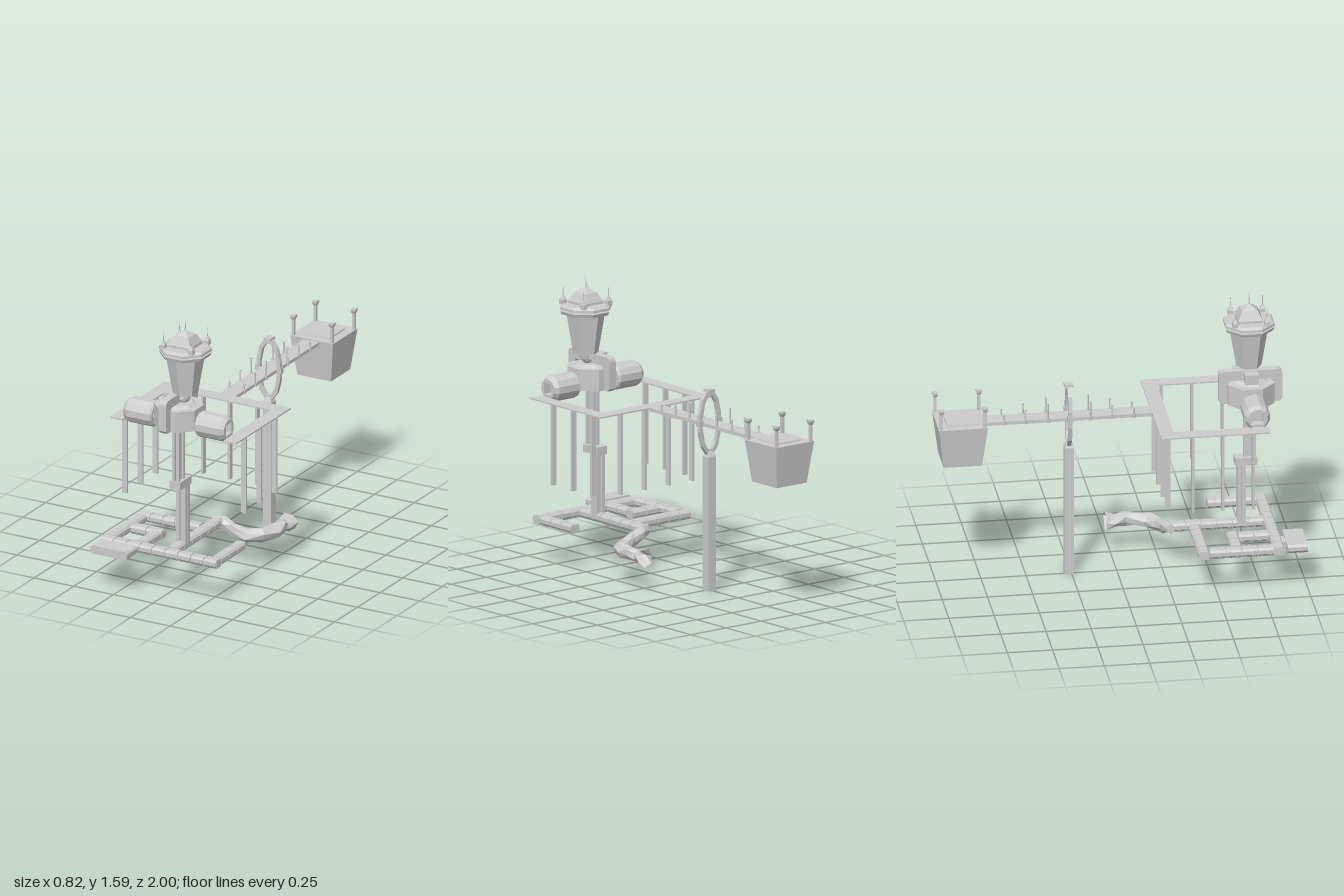
import * as THREE from 'three';

const material = new THREE.MeshStandardMaterial({ color: 0xcccccc, flatShading: true, side: THREE.DoubleSide });
const CX = 0.008; // shared centre line
const HZ = 0.738; // depth of the tower axis

export function createModel() {
  const model = new THREE.Group();
  const add = (name, geometry, x = 0, y = 0, z = 0, parent = model) => {
    const mesh = new THREE.Mesh(geometry, material);
    mesh.name = name;
    mesh.position.set(x, y, z);
    parent.add(mesh);
    return mesh;
  };
  // box between two corners
  const box = (name, x0, x1, y0, y1, z0, z1) =>
    add(name, new THREE.BoxGeometry(x1 - x0, y1 - y0, z1 - z0), (x0 + x1) / 2, (y0 + y1) / 2, (z0 + z1) / 2);
  // upright n-sided frustum
  const frustum = (name, n, rBottom, rTop, x, z, y0, y1, turn = 0) =>
    add(name, new THREE.CylinderGeometry(rTop, rBottom, y1 - y0, n).rotateY(turn), x, (y0 + y1) / 2, z);
  // square frustum given by half widths
  const square = (name, bottom, top, x, z, y0, y1) =>
    frustum(name, 4, bottom * Math.SQRT2, top * Math.SQRT2, x, z, y0, y1, Math.PI / 4);

  // U-shaped walkway with hanging slats
  box('frameBack', -0.39, 0.405, 0.941, 0.949, 0.19, 0.27);
  box('frameArmRight', -0.39, -0.31, 0.941, 0.949, 0.27, 0.795);
  box('frameArmLeft', 0.325, 0.405, 0.941, 0.949, 0.27, 0.795);
  for (const x of [-0.288, -0.118, 0.05, 0.221]) box('hangingSlat', x - 0.007, x + 0.007, 0.48, 0.942, 0.225, 0.255);
  for (const z of [0.3, 0.468, 0.637]) box('hangingSlat', 0.35, 0.38, 0.48, 0.942, z - 0.007, z + 0.007);
  for (const z of [0.37, 0.535, 0.705]) box('hangingSlat', -0.36, -0.33, 0.48, 0.942, z - 0.007, z + 0.007);

  // bridge with side rails, ribs and posts
  box('bridgeDeck', -0.042, 0.055, 0.94, 0.949, -0.735, 0.19);
  for (const x of [-0.035, 0.048]) box('bridgeRail', x - 0.007, x + 0.007, 0.93, 0.942, -0.735, 0.19);
  for (let i = 0; i < 8; i++) box('bridgeRib', -0.035, 0.048, 0.932, 0.941, -0.68 + i * 0.115, -0.665 + i * 0.115);
  for (const [z, top] of [[0.09, 0.985], [-0.03, 1.01], [-0.15, 1.04], [-0.385, 1.04], [-0.51, 1.01], [-0.63, 0.985]])
    for (const x of [-0.04, 0.053]) {
      frustum('bridgePost', 6, 0.005, 0.004, x, z, 0.93, top);
      frustum('bridgePostFoot', 6, 0.01, 0.01, x, z, 0.93, 0.952);
      frustum('bridgePostTip', 6, 0.006, 0.006, x, z, top - 0.008, top);
    }

  // pylon and upright hoop around the bridge
  square('pylon', 0.026, 0.026, CX, -0.264, 0, 0.755);
  square('pylonNeck', 0.026, 0.013, CX, -0.264, 0.755, 0.785);
  const ellipse = (rx, ry, n) => Array.from({ length: n }, (_, i) => {
    const a = (i + 0.5) / n * Math.PI * 2;
    return new THREE.Vector2(Math.cos(a) * rx, Math.sin(a) * ry);
  });
  const hoop = new THREE.Shape(ellipse(0.078, 0.185, 12));
  hoop.holes.push(new THREE.Path(ellipse(0.054, 0.155, 12)));
  add('hoop', new THREE.ExtrudeGeometry(hoop, { depth: 0.022, bevelEnabled: false }), CX, 0.945, -0.275);
  box('hoopCap', CX - 0.022, CX + 0.022, 1.117, 1.132, -0.288, -0.24);
  for (const x of [-0.06, 0.075]) box('hoopBracket', x - 0.014, x + 0.014, 0.93, 0.965, -0.28, -0.25);

  // tapered gondola with lid and corner posts
  square('gondola', 0.106, 0.135, 0.008, -0.864, 0.72, 0.955);
  square('gondolaLid', 0.085, 0.083, 0.008, -0.864, 0.955, 0.964);
  for (const sx of [-1, 1]) for (const sz of [-1, 1]) {
    const x = 0.008 + sx * 0.121, z = -0.864 + sz * 0.121;
    square('cornerPost', 0.008, 0.008, x, z, 0.95, 1.06);
    square('cornerPostCap', 0.007, 0.015, x, z, 1.045, 1.062);
    square('cornerPostTop', 0.015, 0.015, x, z, 1.062, 1.074);
  }

  // mast: bundled poles joined by a collar
  for (const sx of [-1, 1]) for (const sz of [-1, 1]) {
    square('lowerMastPole', 0.011, 0.011, CX + sx * 0.02, 0.687 + sz * 0.012, 0.24, 0.6);
    square('upperMastPole', 0.009, 0.009, CX + sx * 0.013, 0.735 + sz * 0.025, 0.59, 0.99);
  }
  box('lowerMastCore', CX - 0.025, CX + 0.025, 0.24, 0.6, 0.677, 0.697);
  box('upperMastCore', CX - 0.01, CX + 0.01, 0.59, 0.99, 0.715, 0.755);
  box('mastCollar', CX - 0.034, CX + 0.034, 0.592, 0.638, 0.652, 0.775);

  // hub drum and the clip over it
  frustum('hubDrum', 8, 0.138, 0.138, 0.012, HZ, 0.965, 1.085, Math.PI / 8);
  frustum('hubTop', 8, 0.1, 0.08, 0.012, HZ, 1.085, 1.1, Math.PI / 8);
  const clip = new THREE.Shape();
  clip.moveTo(-0.175, 0.98);
  clip.lineTo(-0.175, 1.125);
  clip.quadraticCurveTo(-0.175, 1.155, -0.145, 1.155);
  clip.lineTo(0.145, 1.155);
  clip.quadraticCurveTo(0.175, 1.155, 0.175, 1.125);
  clip.lineTo(0.175, 0.98);
  clip.lineTo(0.16, 0.965);
  clip.lineTo(0.122, 0.965);
  clip.lineTo(0.122, 1.09);
  clip.lineTo(0.11, 1.102);
  clip.lineTo(-0.11, 1.102);
  clip.lineTo(-0.122, 1.09);
  clip.lineTo(-0.122, 0.965);
  clip.lineTo(-0.16, 0.965);
  add('hubClip', new THREE.ExtrudeGeometry(clip, { depth: 0.046, bevelEnabled: false, curveSegments: 4 })
    .rotateY(-Math.PI / 2), CX + 0.023, 0, HZ);
  box('hubBlock', -0.07, -0.01, 1.09, 1.15, 0.7, 0.775);
  const elbow = new THREE.CatmullRomCurve3([[0.0, 1.125], [0.045, 1.122], [0.062, 1.14], [0.064, 1.175]]
    .map(([x, y]) => new THREE.Vector3(x, y, HZ)));
  add('elbowPipe', new THREE.TubeGeometry(elbow, 8, 0.025, 8));

  // side drums, each with a square opening in its end
  for (const side of [-1, 1]) {
    const drum = new THREE.Group();
    drum.name = side > 0 ? 'leftDrum' : 'rightDrum';
    drum.position.set(CX, 0.995, HZ - 0.003);
    drum.rotation.y = side > 0 ? 0 : Math.PI;
    model.add(drum);
    const profile = [[0, 0.135], [0.062, 0.135], [0.073, 0.145], [0.073, 0.292], [0.056, 0.317]]
      .map(([r, x]) => new THREE.Vector2(r, x));
    add('drumShell', new THREE.LatheGeometry(profile, 12).rotateY(Math.PI / 12).rotateZ(-Math.PI / 2), 0, 0, 0, drum);
    const end = new THREE.Shape(ellipse(0.056, 0.056, 12));
    const h = 0.032;
    end.holes.push(new THREE.Path([[-h, -h], [-h, h], [h, h], [h, -h]].map(([x, y]) => new THREE.Vector2(x, y))));
    add('drumEnd', new THREE.ShapeGeometry(end).rotateY(Math.PI / 2), 0.317, 0, 0, drum);
    add('drumOpening', new THREE.CylinderGeometry(h * Math.SQRT2, h * Math.SQRT2, 0.05, 4, 1, true)
      .rotateY(Math.PI / 4).rotateZ(Math.PI / 2), 0.292, 0, 0, drum);
    add('drumOpeningBack', new THREE.BoxGeometry(0.004, h * 2, h * 2), 0.268, 0, 0, drum);
    add('drumAxle', new THREE.CylinderGeometry(0.045, 0.045, 0.05, 8).rotateZ(Math.PI / 2), 0.125, 0, 0, drum);
  }

  // tower: hexagonal cup, stacked plates, domed cap and pods
  const TX = 0.053, O = Math.PI / 8;
  frustum('towerCup', 6, 0.07, 0.108, TX, HZ, 1.16, 1.385);
  frustum('lowerPlate', 8, 0.138, 0.146, TX, HZ, 1.383, 1.402, O);
  frustum('plateSpacer', 8, 0.105, 0.105, TX, HZ, 1.4, 1.414, O);
  frustum('upperPlate', 8, 0.146, 0.146, TX, HZ, 1.411, 1.425, O);
  frustum('upperPlateBevel', 8, 0.146, 0.132, TX, HZ, 1.425, 1.437, O);
  square('domeBase', 0.068, 0.068, TX, HZ, 1.435, 1.45);
  square('domeSlope', 0.068, 0.043, TX, HZ, 1.45, 1.5);
  square('domePeak', 0.04, 0.006, TX, HZ, 1.5, 1.525);
  frustum('mainNeedle', 5, 0.004, 0.0015, TX, HZ, 1.52, 1.588);
  for (const sx of [-1, 1]) for (const sz of [-1, 1]) {
    const x = TX + sx * 0.088, z = HZ + sz * 0.088;
    square('pod', 0.015, 0.015, x, z, 1.43, 1.455);
    square('podTip', 0.015, 0.004, x, z, 1.455, 1.478);
    frustum('podNeedle', 5, 0.003, 0.0015, x, z, 1.475, 1.533);
  }

  // winding path of chamfered slabs
  const slab = (width, length) => {
    const w = width / 2, pts = [[-w + 0.012, 0.215], [w - 0.012, 0.215], [w, 0.23], [w, 0.252], [w - 0.01, 0.264], [-w + 0.01, 0.264], [-w, 0.252], [-w, 0.23]];
    return new THREE.ExtrudeGeometry(new THREE.Shape(pts.map(([x, y]) => new THREE.Vector2(x, y))), { depth: length, bevelEnabled: false });
  };
  const path = (x0, z0, x1, z1) => {
    const length = Math.hypot(x1 - x0, z1 - z0), count = Math.max(1, Math.round(length / 0.085));
    const run = new THREE.Group();
    run.name = 'pathRun';
    run.position.set(x0, 0, z0);
    run.rotation.y = Math.atan2(x1 - x0, z1 - z0);
    model.add(run);
    for (let i = 0; i < count; i++) add('pathSlab', slab(0.062, length / count - 0.005), 0, 0, i * length / count + 0.0025, run);
    add('pathCore', new THREE.BoxGeometry(0.05, 0.036, length), 0, 0.239, length / 2, run);
  };
  path(CX, 0.29, CX, 0.81);
  path(-0.41, 0.425, -0.023, 0.425);
  path(-0.38, 0.455, -0.38, 0.81);
  path(-0.41, 0.84, 0.322, 0.84);
  path(0.29, 0.54, 0.29, 0.81);
  path(-0.35, 0.613, -0.155, 0.613);
  path(-0.187, 0.643, -0.187, 0.81);
  add('landingPad', slab(0.232, 0.112), -0.28, 0, 0.888);
  box('landingNeck', -0.32, -0.24, 0.22, 0.255, 0.865, 0.892);

  // rocky root: rough sections [x, y, z, half width, half height, heading]
  const sections = [
    [-0.02, 0.235, 0.295, 0.025, 0.03, 1.3], [0.04, 0.23, 0.282, 0.032, 0.04, 1.6], [0.1, 0.2, 0.28, 0.03, 0.04, 1.6],
    [0.17, 0.18, 0.268, 0.038, 0.04, 1.85], [0.235, 0.18, 0.215, 0.045, 0.04, 2.4], [0.27, 0.182, 0.14, 0.046, 0.037, 2.9],
    [0.275, 0.185, 0.085, 0.04, 0.038, 3.2], [0.262, 0.18, 0.03, 0.04, 0.036, 3.14], [0.268, 0.175, -0.025, 0.058, 0.05, 3.14]];
  const N = 7, position = [], index = [];
  sections.forEach(([x, y, z, w, h, heading], s) => {
    for (let i = 0; i < N; i++) {
      const a = i / N * Math.PI * 2 + s * 0.25, rough = 1 + 0.14 * Math.sin(i * 4.1 + s * 2.7);
      const u = Math.cos(a) * w * rough;
      position.push(x + u * Math.cos(heading), y + Math.sin(a) * h * rough, z - u * Math.sin(heading));
      if (s) {
        const a0 = (s - 1) * N + i, a1 = (s - 1) * N + (i + 1) % N;
        index.push(a0, a1, a0 + N, a1, a1 + N, a0 + N);
      }
    }
  });
  for (let i = 1; i < N - 1; i++) index.push(0, i + 1, i);
  const root = new THREE.BufferGeometry();
  root.setAttribute('position', new THREE.Float32BufferAttribute(position, 3));
  root.setIndex(index);
  root.computeVertexNormals();
  add('rockyRoot', root);

  return model;
}
